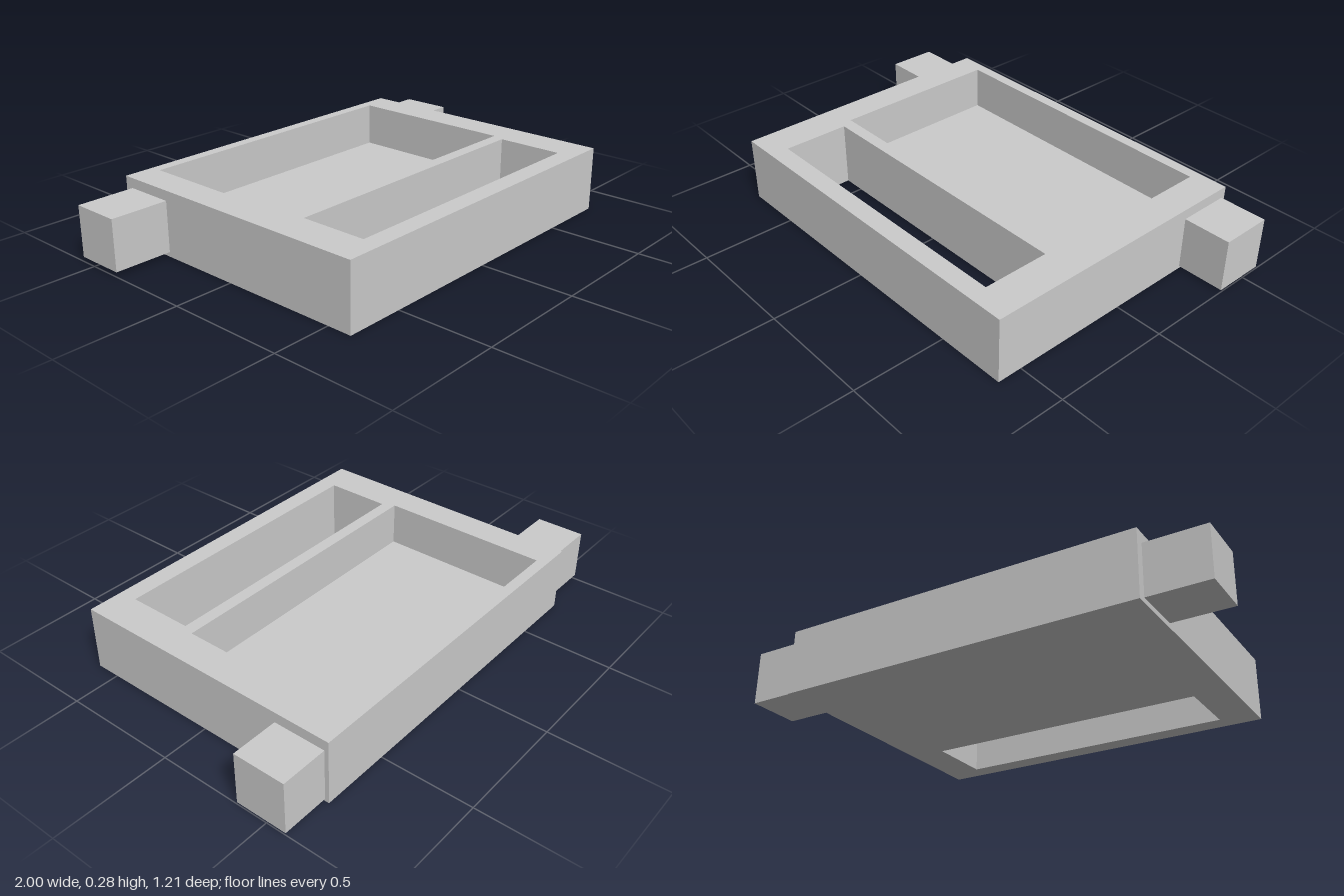
import * as THREE from 'three';

const material = new THREE.MeshStandardMaterial({ color: 0xcccccc, flatShading: true });

// Rectangles are given in plan as [x0, x1, z0, z1]
const OUTLINE = [-0.75, 0.797, -0.605, 0.605];
const POCKET = [-0.62, 0.658, -0.558, 0.185];
const SLOT = [-0.595, 0.64, 0.238, 0.524];
const FLOOR_Y = 0.087;
const TOP_Y = 0.278;

function trace(path, [x0, x1, z0, z1]) {
  path.moveTo(x0, -z1);
  path.lineTo(x1, -z1);
  path.lineTo(x1, -z0);
  path.lineTo(x0, -z0);
  path.closePath();
  return path;
}

// Horizontal slab from y0 to y1 with rectangular openings
function slab(name, y0, y1, openings) {
  const shape = trace(new THREE.Shape(), OUTLINE);
  shape.holes = openings.map((o) => trace(new THREE.Path(), o));
  const geometry = new THREE.ExtrudeGeometry(shape, { depth: y1 - y0, bevelEnabled: false });
  geometry.rotateX(-Math.PI / 2);
  geometry.translate(0, y0, 0);
  const mesh = new THREE.Mesh(geometry, material);
  mesh.name = name;
  return mesh;
}

function block(name, [x0, x1, z0, z1], y0, y1) {
  const mesh = new THREE.Mesh(new THREE.BoxGeometry(x1 - x0, y1 - y0, z1 - z0), material);
  mesh.position.set((x0 + x1) / 2, (y0 + y1) / 2, (z0 + z1) / 2);
  mesh.name = name;
  return mesh;
}

export function createModel() {
  const group = new THREE.Group();
  group.name = 'tray';

  // Tray: floor pierced by the front slot, and walls around pocket and slot
  group.add(slab('trayFloor', 0, FLOOR_Y, [SLOT]));
  group.add(slab('trayWalls', FLOOR_Y, TOP_Y, [POCKET, SLOT]));

  // Side lugs near the back, slightly different in size
  group.add(block('rightLug', [-1, -0.75, -0.568, -0.355], 0.02, 0.235));
  group.add(block('leftLug', [0.797, 1, -0.587, -0.363], 0.009, 0.234));

  return group;
}
